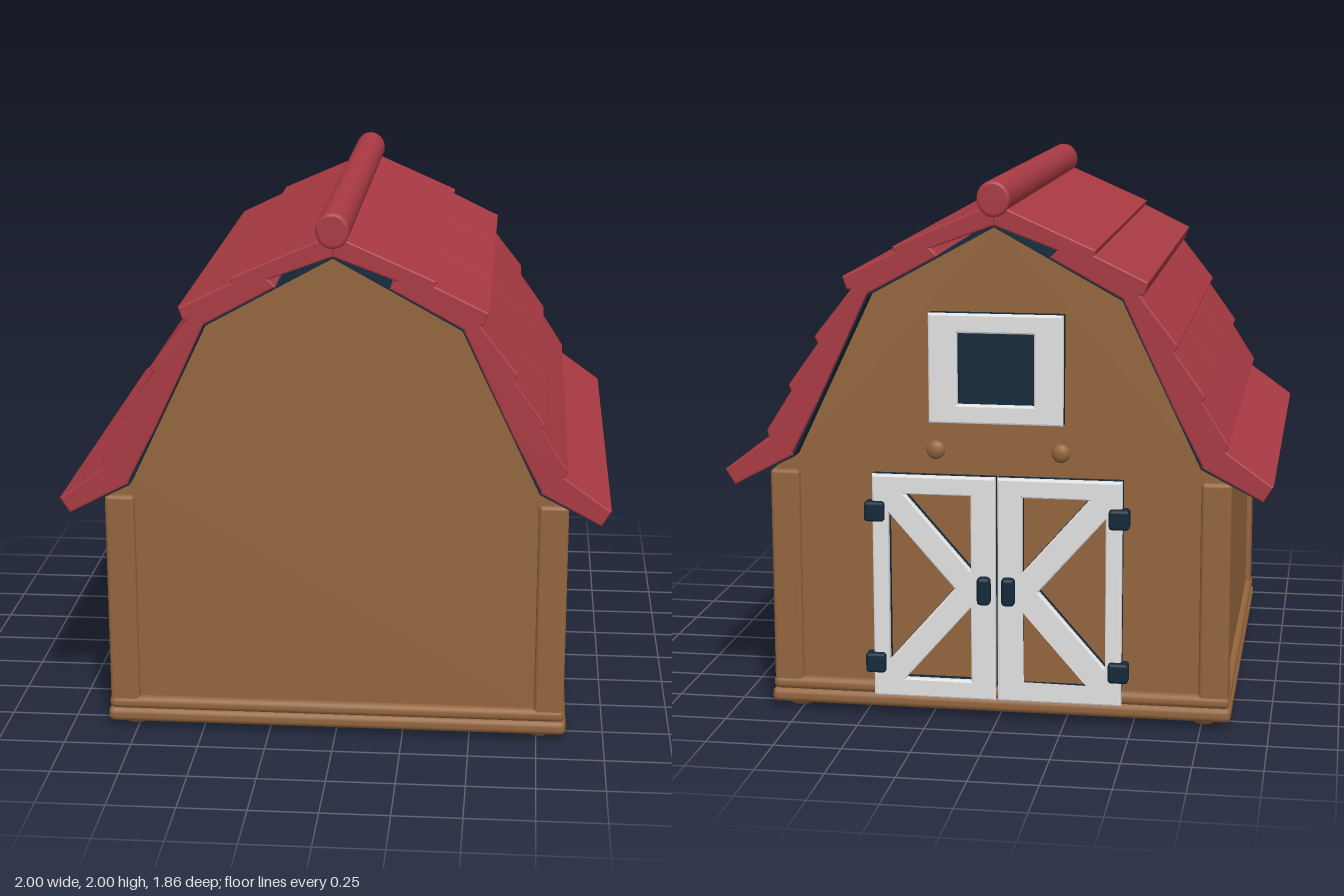
import * as THREE from 'three';
import { RoundedBoxGeometry } from 'three/addons/geometries/RoundedBoxGeometry.js';

const paint = (name, color) => {
  const m = new THREE.MeshStandardMaterial({ color });
  m.name = name;
  return m;
};

export function createModel() {
  const barn = new THREE.Group();
  barn.name = 'barn';
  const brown = paint('barn brown', 0x94663e);
  const red = paint('roof red', 0xaa3a43);
  const white = paint('trim white', 0xe4e4e4);
  const navy = paint('dark navy', 0x14293a);

  const add = (name, geometry, material, x = 0, y = 0, z = 0, parent = barn) => {
    const mesh = new THREE.Mesh(geometry, material);
    mesh.name = name;
    mesh.position.set(x, y, z);
    parent.add(mesh);
    return mesh;
  };
  // Rounded box given by its size and centre
  const block = (name, mat, w, h, d, x, y, z, r = 0.015, parent = barn) =>
    add(name, new RoundedBoxGeometry(w, h, d, 2, r), mat, x, y, z, parent);
  const outline = (pts) => new THREE.Shape(pts.map(([x, y]) => new THREE.Vector2(x, y)));
  // Extrudes a shape between two z values, with an optional inset bevel
  const slab = (shape, z0, z1, bevel = 0, curveSegments = 12) => {
    const g = new THREE.ExtrudeGeometry(shape, {
      depth: z1 - z0 - 2 * bevel, bevelEnabled: bevel > 0, bevelThickness: bevel,
      bevelSize: bevel, bevelOffset: -bevel, bevelSegments: 2, curveSegments,
    });
    return g.translate(0, 0, z0 + bevel);
  };

  // Walls with the gambrel gable
  const half = [[0.83, 0.06], [0.83, 0.93], [0.745, 0.985], [0.46, 1.582]];
  const mirrored = half.map(([x, y]) => [-x, y]).reverse();
  add('walls', slab(outline([...half, [0, 1.832], ...mirrored]), -0.83, 0.83), brown);

  // Base rails, corner posts and feet
  block('lowerBase', brown, 1.72, 0.055, 1.72, 0, 0.053, 0, 0.022);
  block('upperBase', brown, 1.71, 0.05, 1.71, 0, 0.1, 0, 0.022);
  for (const sx of [-1, 1]) {
    for (const sz of [-1, 1]) {
      block('cornerPost', brown, 0.11, 0.84, 0.11, sx * 0.795, 0.5, sz * 0.795);
      const foot = add('foot', new THREE.SphereGeometry(0.06, 20, 12), brown, sx * 0.76, 0.03, sz * 0.78);
      foot.scale.y = 0.5;
    }
  }

  // Overlapping roof courses: profile of one side plus seam positions along z
  const courses = [
    [[[0, 1.92], [0.365, 1.76], [0.35, 1.71], [0, 1.84]], []],
    [[[0.26, 1.79], [0.55, 1.65], [0.535, 1.605], [0.46, 1.588], [0.2, 1.73]], [-0.33, 0.33]],
    [[[0.49, 1.64], [0.655, 1.43], [0.64, 1.395], [0.55, 1.395], [0.46, 1.588]], [0]],
    [[[0.59, 1.48], [0.755, 1.25], [0.74, 1.215], [0.645, 1.195], [0.55, 1.395]], [-0.33, 0.33]],
    [[[0.7, 1.3], [0.84, 1.08], [0.825, 1.03], [0.75, 0.99], [0.645, 1.195]], [0]],
    [[[0.77, 1.1], [0.84, 1.045], [1.0, 0.93], [0.965, 0.873], [0.745, 0.99]], [-0.33, 0.33]],
  ];
  const lining = [[0, 1.842], [0.463, 1.59], [0.748, 0.992], [0.96, 0.88],
    [0.957, 0.873], [0.742, 0.983], [0.457, 1.581], [0, 1.833]];
  for (const side of [0, 1]) {
    const roof = new THREE.Group();
    roof.name = side ? 'rightRoof' : 'leftRoof';
    roof.rotation.y = side * Math.PI;
    barn.add(roof);
    for (const [profile, seams] of courses) {
      const cuts = [-0.915, ...seams, 0.915];
      for (let i = 0; i + 1 < cuts.length; i++) {
        add('roofCourse', slab(outline(profile), cuts[i], cuts[i + 1], 0.006), red, 0, 0, 0, roof);
      }
    }
    add('roofLining', slab(outline(lining), -0.905, 0.905), navy, 0, 0, 0, roof);
  }

  // Ridge pole
  const ring = new THREE.Shape().absellipse(0, 1.935, 0.06, 0.065, 0, Math.PI * 2, false);
  add('ridgePole', slab(ring, -0.93, 0.93, 0.012, 16), red);

  // Double doors on the back, with braces that meet in the middle
  for (const s of [-1, 1]) {
    const door = new THREE.Group();
    door.name = s > 0 ? 'leftDoor' : 'rightDoor';
    barn.add(door);
    const flip = (pts) => pts.map(([x, y]) => [s * x, y]);
    const leaf = outline(flip([[0.004, 0.08], [0.46, 0.08], [0.46, 0.92], [0.004, 0.92]]));
    const holes = [
      [[0.095, 0.85], [0.34, 0.85], [0.095, 0.57]],
      [[0.4, 0.78], [0.4, 0.22], [0.155, 0.5]],
      [[0.095, 0.15], [0.34, 0.15], [0.095, 0.43]],
    ];
    leaf.holes = holes.map((h) => outline(flip(h)));
    add('doorFrame', slab(leaf, -0.882, -0.85, 0.007), white, 0, 0, 0, door);
    add('doorBacking', slab(leaf, -0.85, -0.828), navy, 0, 0, 0, door);
    for (const y of [0.21, 0.785]) {
      block('hinge', navy, 0.075, 0.075, 0.06, s * 0.45, y, -0.875, 0.012, door);
    }
    block('handle', navy, 0.05, 0.105, 0.05, s * 0.045, 0.5, -0.885, 0.015, door);

    // Round peg above each door
    const peg = add('peg', new THREE.SphereGeometry(0.035, 16, 12), brown, s * 0.23, 1.01, -0.83);
    peg.scale.z = 0.6;
  }

  // Loft window
  const frame = outline([[-0.245, 1.12], [0.245, 1.12], [0.245, 1.52], [-0.245, 1.52]]);
  frame.holes = [outline([[-0.14, 1.19], [0.14, 1.19], [0.14, 1.45], [-0.14, 1.45]])];
  add('windowFrame', slab(frame, -0.89, -0.86, 0.007), white);
  add('windowBacking', slab(frame, -0.86, -0.828), navy);
  add('windowPane', new THREE.BoxGeometry(0.3, 0.28, 0.008), navy, 0, 1.32, -0.833);

  return barn;
}
